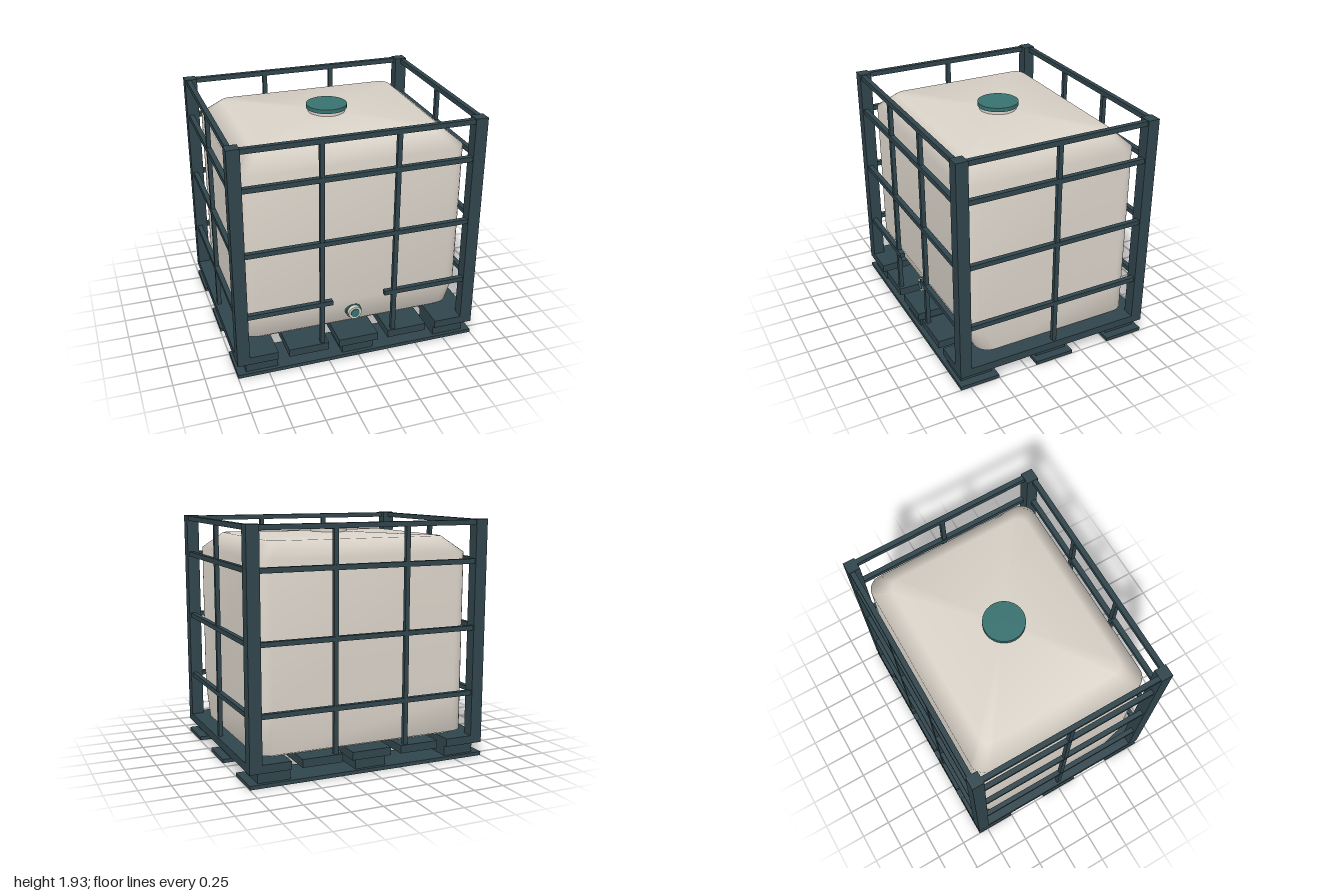
import * as THREE from 'three';

const material = (name, color) => {
  const m = new THREE.MeshStandardMaterial({ color });
  m.name = name;
  return m;
};

// Rounded rectangle loop at height y, spanning x = -hx..hx and z = back..front
function loopPoints({ y, hx, back, front, r }, steps = 6) {
  const corners = [[hx - r, front - r], [-hx + r, front - r], [-hx + r, back + r], [hx - r, back + r]];
  const pts = [];
  corners.forEach(([cx, cz], c) => {
    for (let i = 0; i <= steps; i++) {
      const a = (c + i / steps) * Math.PI / 2;
      pts.push([cx + r * Math.cos(a), y, cz + r * Math.sin(a)]);
    }
  });
  return pts;
}

// Skin the loops from bottom to top and close both ends with fans
function loftGeometry(sections, apexY) {
  const loops = sections.map((s) => loopPoints(s));
  const n = loops[0].length;
  const pos = loops.flat(2);
  const idx = [];
  const bottom = loops.length * n, top = bottom + 1;
  pos.push(0, sections[0].y, 0, 0, apexY, 0);
  for (let i = 0; i < n; i++) {
    const j = (i + 1) % n;
    for (let k = 0; k < loops.length - 1; k++) {
      const a = k * n + i, b = k * n + j;
      idx.push(a, a + n, b, b, a + n, b + n);
    }
    const last = (loops.length - 1) * n;
    idx.push(bottom, i, j, top, last + j, last + i);
  }
  const g = new THREE.BufferGeometry();
  g.setAttribute('position', new THREE.Float32BufferAttribute(pos, 3));
  g.setIndex(idx);
  g.computeVertexNormals();
  return g;
}

export function createModel() {
  const steel = material('dark slate frame', 0x30454c);
  const plastic = material('cream plastic', 0xd9d2c8);
  const teal = material('teal cap', 0x38716f);
  const model = new THREE.Group();

  const add = (parent, name, geometry, mat) => {
    const mesh = new THREE.Mesh(geometry, mat);
    mesh.name = name;
    parent.add(mesh);
    return mesh;
  };
  const group = (name) => {
    const g = new THREE.Group();
    g.name = name;
    model.add(g);
    return g;
  };
  // Box given by its limits on each axis
  const bar = (parent, name, [x0, x1], [y0, y1], [z0, z1]) =>
    add(parent, name, new THREE.BoxGeometry(x1 - x0, y1 - y0, z1 - z0), steel)
      .position.set((x0 + x1) / 2, (y0 + y1) / 2, (z0 + z1) / 2);
  const around = (c, half) => [c - half, c + half];

  // Pallet: runners along x, blocks, deck boards along z
  const pallet = group('pallet');
  for (const z of [-0.667, 0, 0.667]) {
    bar(pallet, 'runner', [-1, 1], [0, 0.03], around(z, 0.165));
    for (const x of [-0.8, 0, 0.8]) bar(pallet, 'block', around(x, 0.13), [0.03, 0.113], around(z, 0.135));
  }
  for (const x of [-0.835, -0.417, 0, 0.417, 0.835])
    bar(pallet, 'deckBoard', around(x, 0.165), [0.113, 0.178], [-0.832, 0.832]);

  // Cage: corner posts, horizontal rails, upright bars
  const cage = group('cage');
  const railZ = 0.802, railX = 0.967;
  const heights = [[0.518, 0.556], [1.052, 1.09], [1.585, 1.625], [1.89, 1.93]];
  for (const sx of [-1, 1]) {
    for (const sz of [-1, 1]) {
      bar(cage, 'cornerPost', around(sx * 0.95, 0.05), [0.178, 1.935], around(sz * 0.784, 0.048));
      bar(cage, 'uprightBar', around(sx * 0.3, 0.018), [0.178, 1.89], around(sz * railZ, 0.017));
    }
    for (const h of heights) bar(cage, 'sideRail', around(sx * railX, 0.02), h, [-0.737, 0.737]);
    bar(cage, 'sideUprightBar', around(sx * railX, 0.017), [0.178, 1.89], around(0, 0.018));
  }
  heights.forEach((h, i) => {
    bar(cage, 'backRail', [-0.9, 0.9], h, around(-railZ, 0.02));
    if (i > 0) bar(cage, 'frontRail', [-0.9, 0.9], h, around(railZ, 0.02));
  });
  // The lowest front rail is interrupted to clear the outlet
  bar(cage, 'shortFrontRail', [-0.9, -0.216], heights[0], around(railZ, 0.02));
  bar(cage, 'shortFrontRail', [0.216, 0.9], heights[0], around(railZ, 0.02));

  // Tank: sloped lower front, chamfered shoulders, slightly domed top
  const tank = group('tank');
  add(tank, 'tankBody', loftGeometry([
    { y: 0.18, hx: 0.84, back: -0.675, front: 0.585, r: 0.1 },
    { y: 0.208, hx: 0.9, back: -0.735, front: 0.615, r: 0.12 },
    { y: 0.48, hx: 0.9, back: -0.735, front: 0.735, r: 0.12 },
    { y: 1.67, hx: 0.9, back: -0.735, front: 0.735, r: 0.12 },
    { y: 1.797, hx: 0.745, back: -0.6, front: 0.6, r: 0.08 },
  ], 1.825), plastic);

  // Filler neck and lid
  const cylinder = (parent, name, r, y0, y1, mat) => {
    const mesh = add(parent, name, new THREE.CylinderGeometry(r, r, y1 - y0, 32), mat);
    mesh.position.y = (y0 + y1) / 2;
  };
  cylinder(tank, 'fillerNeck', 0.15, 1.79, 1.848, plastic);
  cylinder(tank, 'lid', 0.164, 1.846, 1.878, teal);

  // Outlet: coaxial discs pointing forwards
  const outlet = group('outlet');
  outlet.rotation.x = Math.PI / 2;
  outlet.position.set(0, 0.345, 0);
  cylinder(outlet, 'outletCollar', 0.065, 0.655, 0.705, teal);
  cylinder(outlet, 'outletPipe', 0.054, 0.6, 0.738, plastic);
  cylinder(outlet, 'outletPlug', 0.036, 0.736, 0.744, teal);

  return model;
}
